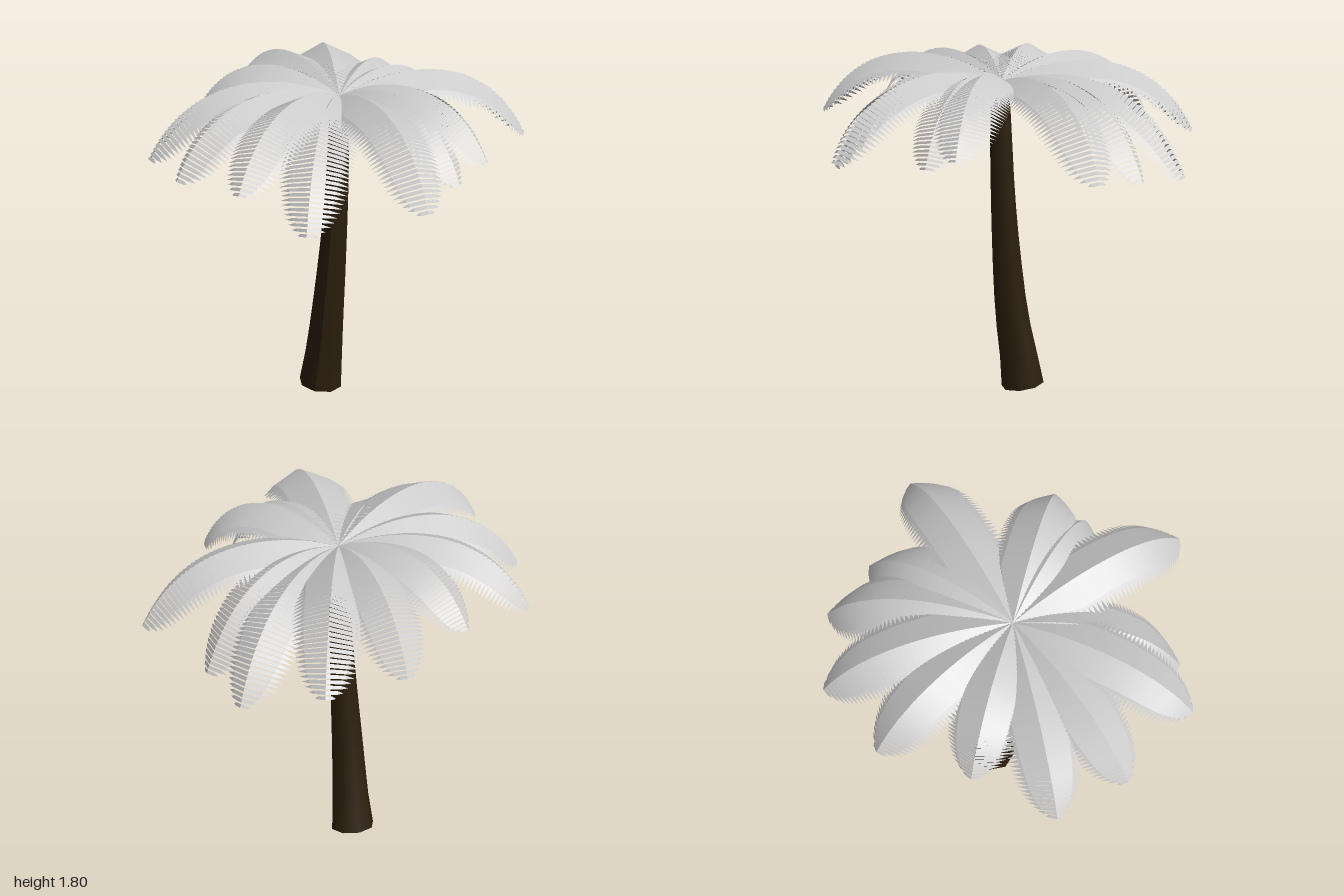
import * as THREE from 'three';

const V = (x, y, z) => new THREE.Vector3(x, y, z);

// Leaning trunk: a capped cylinder whose rings follow a curve
function makeTrunk(material) {
  const curve = new THREE.CatmullRomCurve3([
    V(-0.08, 0.022, -0.09), V(-0.055, 0.2, -0.07), V(-0.03, 0.4, -0.042), V(0.01, 0.8, -0.015),
    V(0.038, 1.2, 0), V(0.05, 1.65, 0.008),
  ]);
  const radii = [0.113, 0.1, 0.091, 0.084, 0.078, 0.072, 0.067, 0.063, 0.06, 0.055, 0.048];
  const rings = radii.length - 1;
  const geo = new THREE.CylinderGeometry(1, 1, 1, 8, rings);
  const pos = geo.attributes.position;
  for (let i = 0; i < pos.count; i++) {
    const t = THREE.MathUtils.clamp(pos.getY(i) + 0.5, 0, 1);
    const r = radii[Math.round(t * rings)];
    const up = curve.getTangentAt(t);
    const side = V(1, 0, 0).addScaledVector(up, -up.x).normalize();
    const front = side.clone().cross(up);
    const p = curve.getPointAt(t)
      .addScaledVector(side, pos.getX(i) * r)
      .addScaledVector(front, pos.getZ(i) * r);
    pos.setXYZ(i, p.x, p.y, p.z);
  }
  geo.computeVertexNormals();
  const mesh = new THREE.Mesh(geo, material);
  mesh.name = 'trunk';
  return mesh;
}

// Arching frond: two rows of drooping pointed leaflets along a midrib
function makeFrond(tip, material) {
  const hub = V(0.05, 1.68, 0);
  const drop = 1.44 - tip.y;
  const at = (f, y) => V(hub.x + (tip.x - hub.x) * f, y, hub.z + (tip.z - hub.z) * f);
  const rib = new THREE.CubicBezierCurve3(
    hub, at(0.35, 1.87 - drop * 0.3), at(0.8, 1.85 - drop * 0.38), tip);
  const out = V(tip.x - hub.x, 0, tip.z - hub.z).normalize();
  const across = V(out.z, 0, -out.x);
  const count = 42;
  const pitch = rib.getLength() / count;
  const verts = [];
  const tri = (a, b, c) => verts.push(...a.toArray(), ...b.toArray(), ...c.toArray());

  for (let i = 0; i < count; i++) {
    const t = (i + 0.5) / count;
    const p = rib.getPointAt(t);
    const tangent = rib.getTangentAt(t);
    const normal = tangent.clone().cross(across);
    // leaflets lie flatter than the rib, like slats
    const half = tangent.clone().multiply(V(1, 0.5, 1)).multiplyScalar(pitch * 0.56);
    const length = 0.245 * Math.min(1, 0.25 + 2.6 * t) * Math.sqrt(1 - Math.pow(t, 6));
    for (const s of [1, -1]) {
      const point = (d, fall, w) => p.clone()
        .addScaledVector(across, s * d * length)
        .addScaledVector(normal, -fall * length)
        .addScaledVector(half, w);
      const a = point(0, 0, -1), b = point(0, 0, 1);
      const c = point(0.58, 0.29, -0.9), d = point(0.58, 0.29, 1);
      const e = point(0.85, 0.5, 0.4);
      for (const [u, v, w] of [[a, b, d], [a, d, c], [c, d, e]]) {
        s > 0 ? tri(u, v, w) : tri(u, w, v);
      }
    }
  }
  const geo = new THREE.BufferGeometry();
  geo.setAttribute('position', new THREE.Float32BufferAttribute(verts, 3));
  geo.computeVertexNormals();
  const mesh = new THREE.Mesh(geo, material);
  mesh.name = 'frond';
  return mesh;
}

export function createModel() {
  const bark = new THREE.MeshStandardMaterial({ color: 0x2c1f0d });
  bark.name = 'dark brown bark';
  const leaf = new THREE.MeshStandardMaterial({ color: 0xcacaca, side: THREE.DoubleSide });
  leaf.name = 'pale grey leaf';

  const group = new THREE.Group();
  group.name = 'palmTree';
  group.add(makeTrunk(bark));

  // Frond tips, going round the crown
  const tips = [
    [0.12, 1.21, -1], [0.41, 1.24, -0.82], [0.87, 1.32, -0.67], [0.89, 1.42, 0.1],
    [0.79, 1.35, 0.28], [0.76, 1.36, 0.78], [0.12, 1.2, 0.88], [-0.22, 1.44, 1],
    [-0.64, 1.38, 0.72], [-0.89, 1.36, 0.38], [-0.77, 1.45, -0.1], [-0.68, 1.41, -0.62],
    [-0.36, 1.37, -0.95],
  ];
  const crown = new THREE.Group();
  crown.name = 'crown';
  for (const tip of tips) crown.add(makeFrond(V(...tip), leaf));
  group.add(crown);
  return group;
}
